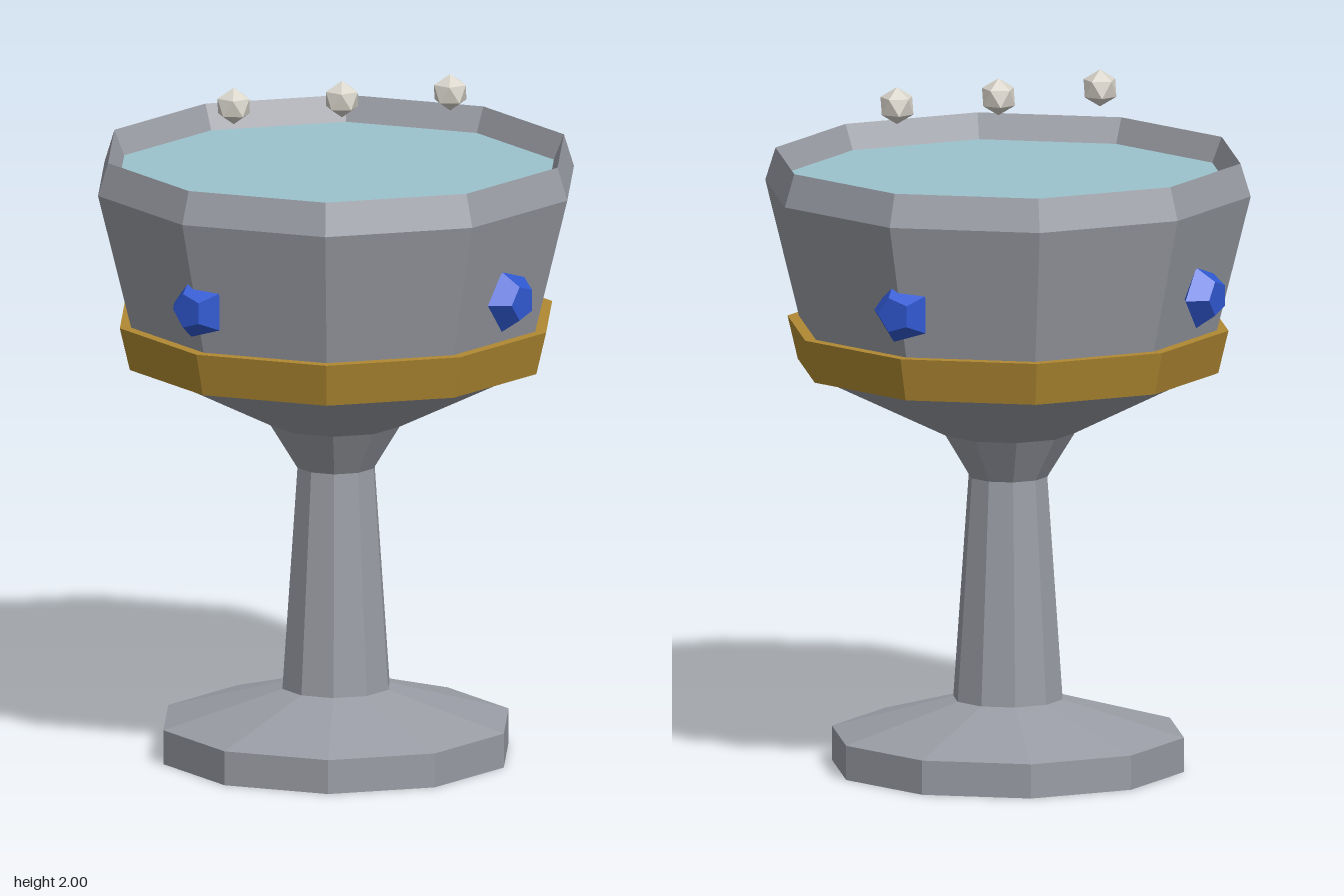
import * as THREE from 'three';

export function createModel() {
  const mat = (name, color) => {
    const m = new THREE.MeshStandardMaterial({ color, flatShading: true });
    m.name = name;
    return m;
  };
  const pewter = mat('pewter grey', 0x999ca4);
  const gold = mat('gold', 0xb08932);
  const sapphire = mat('sapphire blue', 0x3059d2);
  const pearl = mat('pearl', 0xd8d4ca);
  const water = mat('pale blue liquid', 0x9cc3cc);

  const model = new THREE.Group();
  model.name = 'goblet';
  const add = (name, geometry, material) => {
    const mesh = new THREE.Mesh(geometry, material);
    mesh.name = name;
    model.add(mesh);
    return mesh;
  };

  // Faceted turned shape from [radius, height] pairs, with a corner on the x axis
  const turn = (profile, sides = 10, start = Math.PI / 2) =>
    new THREE.LatheGeometry(profile.map(([r, y]) => new THREE.Vector2(r, y)), sides, start);

  // Goblet body
  add('foot', turn([[0, 0], [0.515, 0], [0.515, 0.1], [0.16, 0.2]]), pewter);
  add('stem', turn([[0.16, 0.2], [0.115, 0.85], [0.195, 0.98]]), pewter);
  add('bowl', turn([[0.195, 0.98], [0.58, 1.17], [0.71, 1.69], [0.68, 1.785], [0.645, 1.7]]), pewter);

  // Gold band round the base of the bowl, closed above and below
  add('band', turn([[0.575, 1.17], [0.615, 1.17], [0.645, 1.295], [0.605, 1.295]]), gold);

  // Liquid surface
  const surface = new THREE.CircleGeometry(0.65, 10);
  surface.rotateX(-Math.PI / 2);
  add('liquid', surface, water).position.y = 1.712;

  // Four five-sided gems, a quarter turn apart
  const gem = turn([[0, -0.06], [0.093, 0], [0.052, 0.055], [0, 0.055]], 5, -Math.PI / 2);
  gem.rotateX(Math.PI / 2);
  for (let i = 0; i < 4; i++) {
    const a = 0.3 * Math.PI + (i * Math.PI) / 2;
    const mesh = add('gem', gem, sapphire);
    mesh.position.set(0.632 * Math.cos(a), 1.43, 0.632 * Math.sin(a));
    mesh.rotation.y = Math.PI / 2 - a;
  }

  // Three beads floating above, each standing on a corner
  const bead = new THREE.IcosahedronGeometry(0.054, 0);
  bead.rotateZ(Math.atan(2 / (1 + Math.sqrt(5))));
  for (const x of [-0.323, 0, 0.323]) {
    add('bead', bead, pearl).position.set(x, 1.946, 0.064);
  }
  return model;
}
